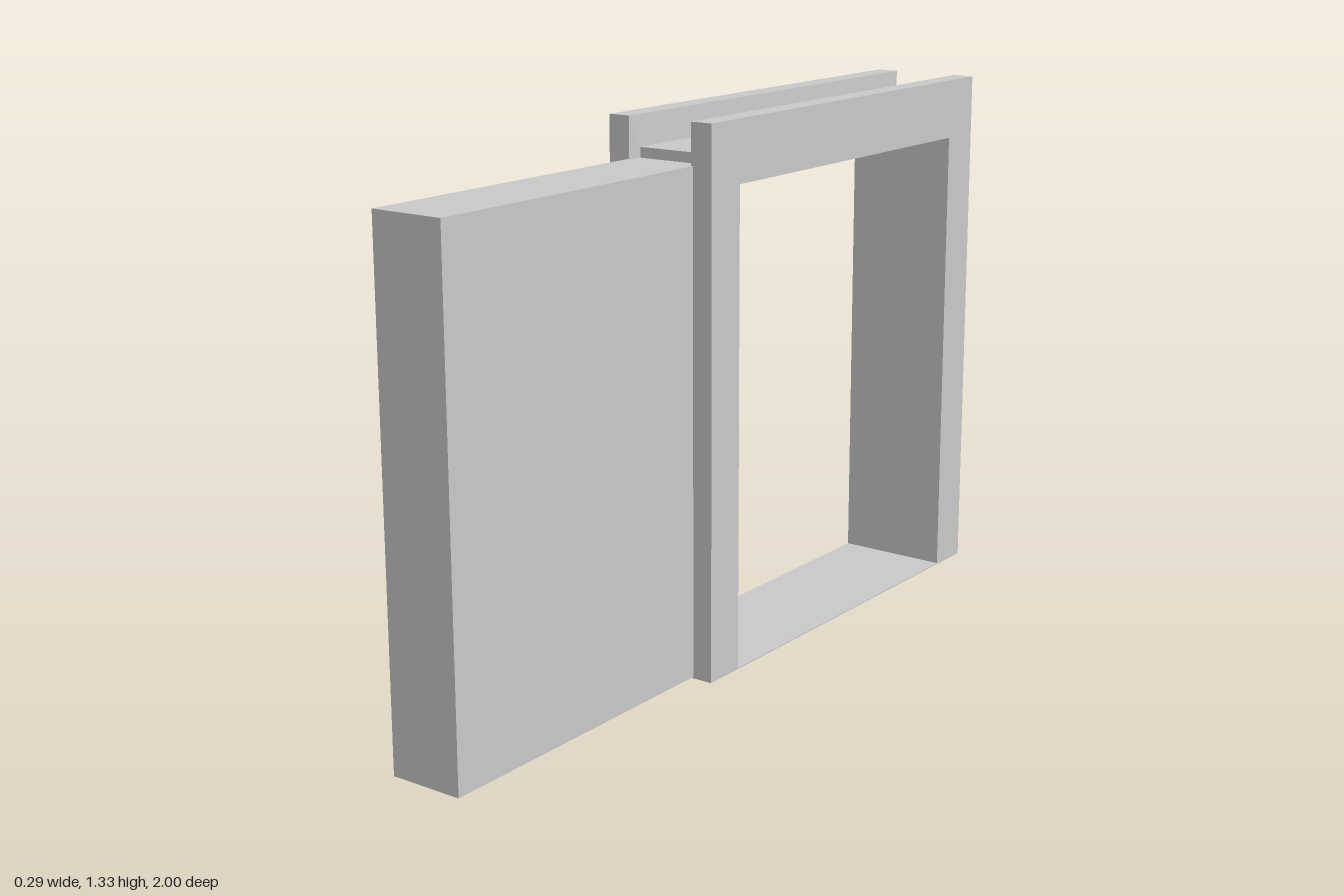
import * as THREE from 'three';

const material = new THREE.MeshStandardMaterial({ color: 0xcccccc, flatShading: true });

// Distances of each frame layer: front z, top y, back z
const OUTER = [0.175, 1.33, -1];
const GROOVE = [0.14, 1.255, -0.97];
const INNER = [0.065, 1.18, -0.885];

// Frame cross-section: layer and x, with a slightly tapered groove on the outside
const SECTION = [
  [OUTER, 0.145], [OUTER, 0.088], [GROOVE, 0.083], [GROOVE, -0.083],
  [OUTER, -0.088], [OUTER, -0.145], [INNER, -0.145], [INNER, 0.145],
];

// Sweeps the section up the front post, along the head and down the back post
function frameGeometry() {
  const stations = [
    ([f], x) => [x, 0, f],
    ([f, t], x) => [x, t, f],
    ([, t, b], x) => [x, t, b],
    ([, , b], x) => [x, 0, b],
  ].map((at) => SECTION.map(([layer, x]) => at(layer, x)));

  const positions = [];
  const triangle = (a, b, c) => positions.push(...a, ...b, ...c);
  const n = SECTION.length;
  for (let s = 0; s < 3; s++) {
    for (let i = 0; i < n; i++) {
      const j = (i + 1) % n;
      const [p, q] = [stations[s], stations[s + 1]];
      triangle(p[j], p[i], q[i]);
      triangle(p[j], q[i], q[j]);
    }
  }
  // Feet of both posts
  const contour = SECTION.map(([layer, x]) => new THREE.Vector2(x, layer[0]));
  for (const [a, b, c] of THREE.ShapeUtils.triangulateShape(contour, [])) {
    triangle(stations[0][a], stations[0][b], stations[0][c]);
    triangle(stations[3][a], stations[3][c], stations[3][b]);
  }
  const geometry = new THREE.BufferGeometry();
  geometry.setAttribute('position', new THREE.Float32BufferAttribute(positions, 3));
  geometry.computeVertexNormals();
  return geometry;
}

// Box given by its width and its y and z ranges
function slab(width, y0, y1, z0, z1) {
  return new THREE.BoxGeometry(width, y1 - y0, z1 - z0)
    .translate(0, (y0 + y1) / 2, (z0 + z1) / 2);
}

export function createModel() {
  const group = new THREE.Group();
  group.name = 'slidingDoor';
  const add = (name, geometry) => {
    const mesh = new THREE.Mesh(geometry, material);
    mesh.name = name;
    group.add(mesh);
  };

  add('doorFrame', frameGeometry());
  // Door panel, slid open through the front post
  add('doorPanel', slab(0.186, 0.004, 1.23, 0.05, 1));
  // Thin threshold between the posts
  add('threshold', slab(0.29, 0, 0.003, INNER[2], INNER[0]));
  return group;
}
